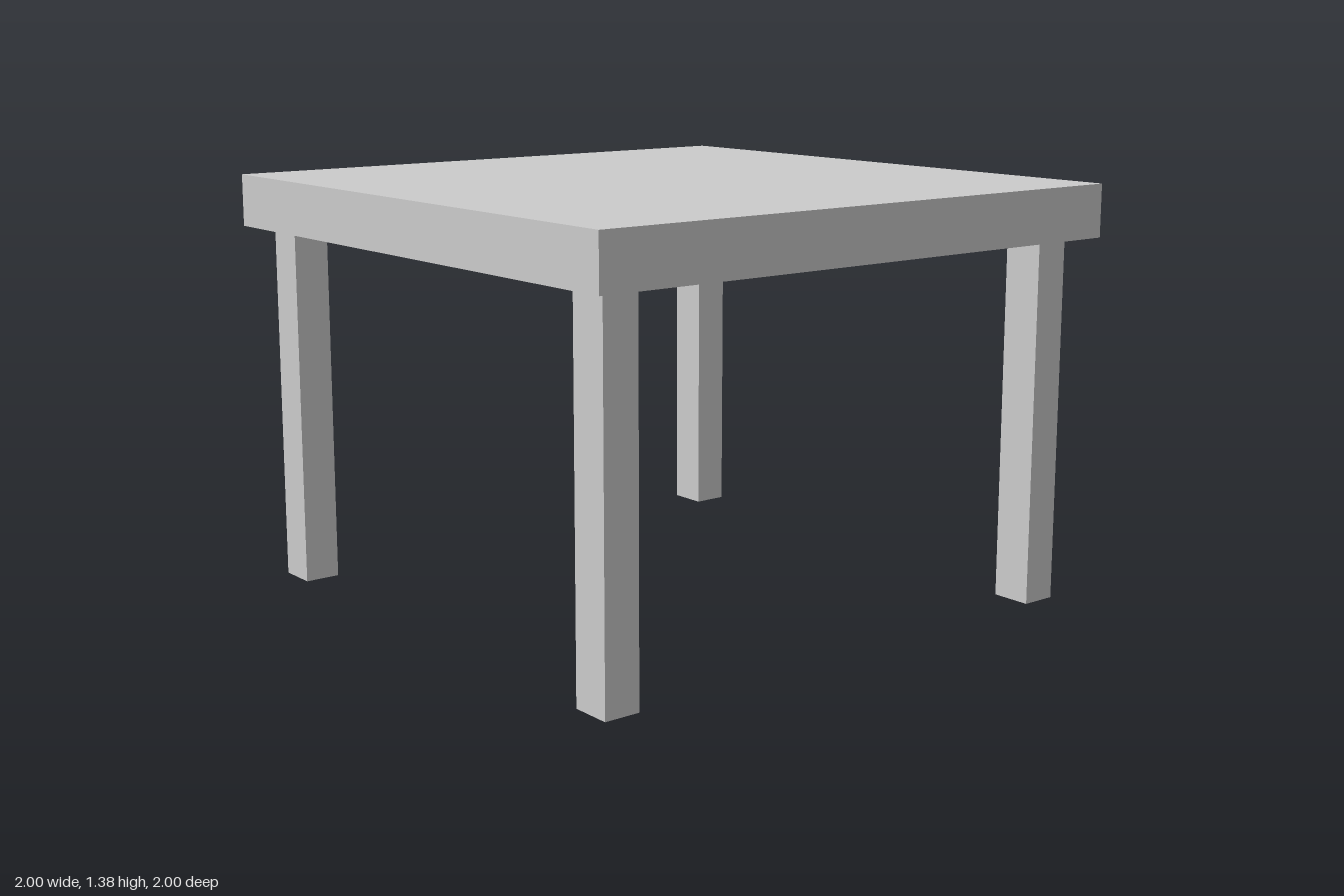
import * as THREE from 'three';

const TOP_Y = 1.38, UNDER_Y = 1.207;

export function createModel() {
  const table = new THREE.Group();
  table.name = 'table';
  const material = new THREE.MeshStandardMaterial({ color: 0xcccccc });

  // Square slab top
  const thickness = TOP_Y - UNDER_Y;
  const top = new THREE.Mesh(new THREE.BoxGeometry(2, thickness, 2), material);
  top.name = 'tableTop';
  top.position.y = UNDER_Y + thickness / 2;
  table.add(top);

  // Four legs, slightly wider in x than in z, set in from the corners
  const legGeometry = new THREE.BoxGeometry(0.135, UNDER_Y, 0.12);
  for (const [endName, z] of [['front', 0.867], ['back', -0.867]]) {
    for (const [sideName, x] of [['Left', 0.85], ['Right', -0.85]]) {
      const leg = new THREE.Mesh(legGeometry, material);
      leg.name = `${endName}${sideName}Leg`;
      leg.position.set(x, UNDER_Y / 2, z);
      table.add(leg);
    }
  }
  return table;
}
